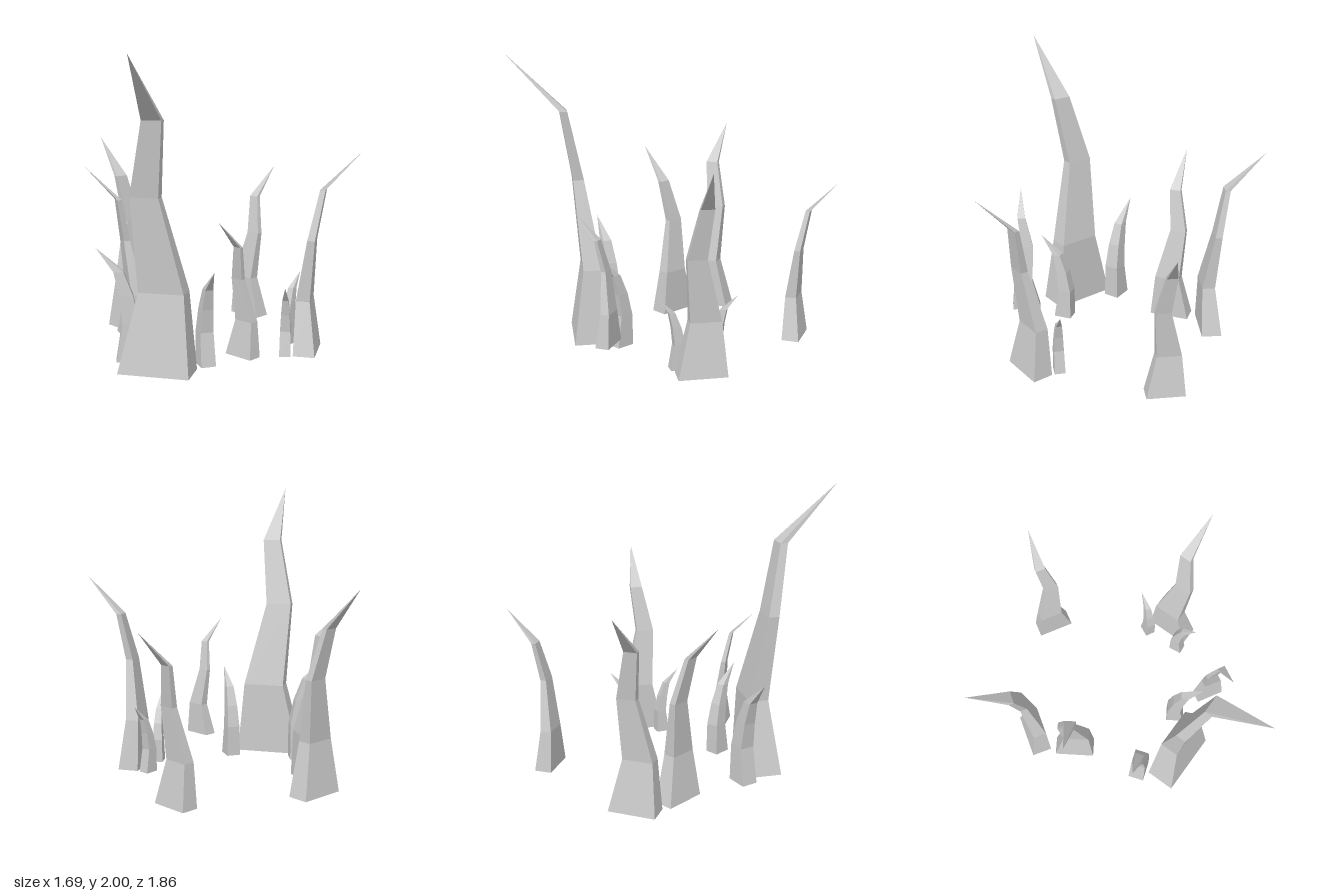
import * as THREE from 'three';

// Cross-sections of a unit-high spike: [height, xMin, xMax, zMin, zMax], bending towards +z
const BROAD = {
  rings: [
    [0, -0.117, 0.117, -0.052, 0.054],
    [0.26, -0.056, 0.093, -0.05, 0.018],
    [0.565, -0.073, 0.02, 0.003, 0.04],
    [0.805, -0.02, 0.044, 0.054, 0.08],
  ],
  tip: [0, 1, 0.255],
};
const SLIM = {
  rings: [
    [0, -0.077, 0.077, -0.11, 0.09],
    [0.34, -0.07, 0.07, -0.11, 0.035],
    [0.58, -0.058, 0.058, -0.06, 0.06],
    [0.79, -0.042, 0.042, 0.02, 0.105],
  ],
  tip: [0, 1, 0.255],
};

// Four-sided rings joined by quads, closed by a point on top and a flat base
function spikeGeometry({ rings, tip }) {
  const loops = rings.map(([y, x0, x1, z0, z1]) => [
    [x0, y, z1], [x1, y, z1], [x1, y, z0], [x0, y, z0],
  ]);
  const pos = [];
  const tri = (...corners) => corners.forEach((c) => pos.push(...c));
  for (let i = 0; i < 4; i++) {
    const j = (i + 1) % 4;
    for (let r = 0; r < loops.length - 1; r++) {
      const lo = loops[r], hi = loops[r + 1];
      tri(lo[i], lo[j], hi[j]);
      tri(lo[i], hi[j], hi[i]);
    }
    const top = loops[loops.length - 1];
    tri(top[i], top[j], tip);
  }
  const b = loops[0];
  tri(b[0], b[2], b[1]);
  tri(b[0], b[3], b[2]);
  const geo = new THREE.BufferGeometry();
  geo.setAttribute('position', new THREE.Float32BufferAttribute(pos, 3));
  geo.computeVertexNormals();
  return geo;
}

export function createModel() {
  const group = new THREE.Group();
  group.name = 'spikeCluster';
  const material = new THREE.MeshStandardMaterial({ color: 0xcccccc, flatShading: true });
  const broad = spikeGeometry(BROAD);
  const slim = spikeGeometry(SLIM);

  // name, shape, base x, base y, base z, height, yaw in degrees
  const spikes = [
    ['tallestSpike', broad, -0.535, 0, 0.5, 2.0, -33],
    ['backRightSpike', broad, -0.415, 0, -0.61, 1.38, -156],
    ['rightSpike', broad, -0.503, 0, -0.295, 1.24, -90],
    ['frontRaisedSpike', broad, -0.035, 0.12, 0.71, 0.88, -63],
    ['leftSpike', broad, 0.55, 0, 0.42, 1.38, 56.8],
    ['backLeftSpike', broad, 0.51, 0, -0.545, 1.14, 116.6],
    ['smallRightSpike', slim, -0.66, 0, 0.205, 0.76, -104],
    ['smallFrontSpike', slim, -0.2, 0, 0.475, 0.65, 0],
    ['smallLeftSpike', slim, 0.365, 0, 0.47, 0.49, -26],
    ['smallInnerSpike', slim, 0.51, 0, 0.22, 0.49, 121],
  ];
  for (const [name, geo, x, y, z, height, yaw] of spikes) {
    const mesh = new THREE.Mesh(geo, material);
    mesh.name = name;
    mesh.position.set(x, y, z);
    mesh.scale.setScalar(height);
    mesh.rotation.y = THREE.MathUtils.degToRad(yaw);
    group.add(mesh);
  }
  return group;
}
